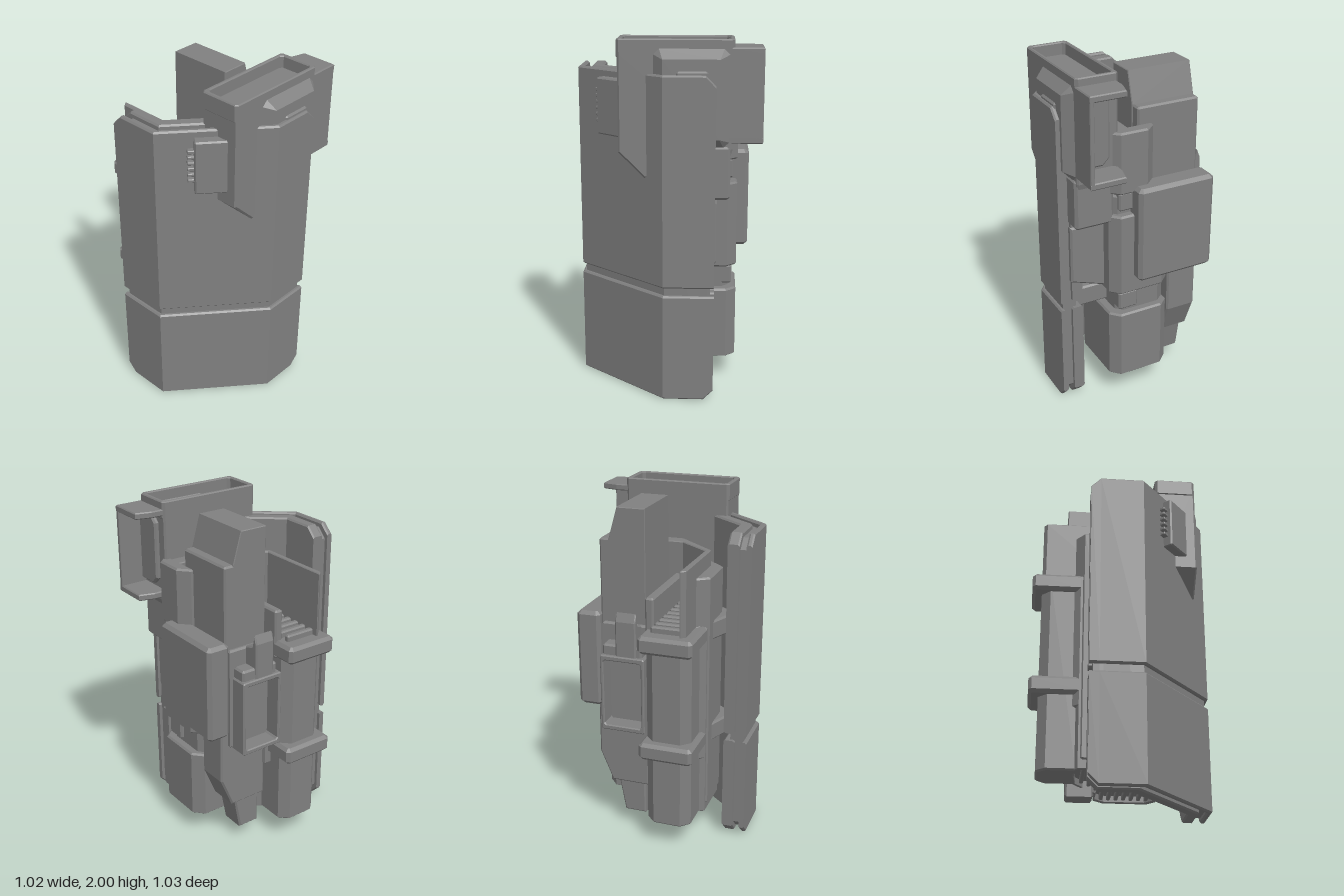
import * as THREE from 'three';

const material = new THREE.MeshStandardMaterial({ color: 0x808080, flatShading: true });

export function createModel() {
  const model = new THREE.Group();
  const add = (name, geometry) => {
    const mesh = new THREE.Mesh(geometry, material);
    mesh.name = name;
    model.add(mesh);
    return mesh;
  };

  // Extrude an outline along an axis: 'y' takes [x,z], 'z' takes [x,y], 'x' takes [z,y]
  const extrude = (name, axis, points, from, to, bevel = 0.01, hole = null) => {
    const map = ([a, b]) => axis === 'y' ? new THREE.Vector2(a, -b)
      : axis === 'x' ? new THREE.Vector2(-a, b) : new THREE.Vector2(a, b);
    const shape = new THREE.Shape(points.map(map));
    // A hole runs against its outline
    if (hole) shape.holes.push(new THREE.Path(hole.map(map).reverse()));
    const geometry = new THREE.ExtrudeGeometry(shape, {
      depth: to - from - 2 * bevel, bevelEnabled: bevel > 0, bevelSize: bevel,
      bevelThickness: bevel, bevelOffset: -bevel, bevelSegments: 1,
    });
    geometry.translate(0, 0, from + bevel);
    if (axis === 'y') geometry.rotateX(-Math.PI / 2);
    if (axis === 'x') geometry.rotateY(Math.PI / 2);
    return add(name, geometry);
  };

  // Rectangle with cut corners, and a box with chamfered edges
  const rect = (a0, a1, b0, b1, c = 0) => c
    ? [[a0 + c, b0], [a1 - c, b0], [a1, b0 + c], [a1, b1 - c], [a1 - c, b1], [a0 + c, b1], [a0, b1 - c], [a0, b0 + c]]
    : [[a0, b0], [a1, b0], [a1, b1], [a0, b1]];
  const block = (name, x0, x1, y0, y1, z0, z1, c = 0.01) =>
    extrude(name, 'y', rect(x0, x1, z0, z1, c), y0, y1, c);

  // Bent shield layer: loft chamfered sections along the folded plan path
  const shieldLayer = (name, d0, d1, y0, y1, cutLow, cutHigh, inset = 0) => {
    const path = d => {
      const a = [0.26 - inset, 0.515 - d], e = [-0.51 + d, -0.2 + inset];
      return [a, [a[0] - 0.055, a[1]], [-0.02 + 0.363 * d, a[1]],
        [e[0], 0.1 - 0.467 * d], [e[0], e[1] + 0.055], e];
    };
    const b = 0.009, position = [], index = [];
    const rails = [d0, d0 + b, d1 - b, d1].map(path);
    for (let i = 0; i < 6; i++) {
      const end = i === 0 || i === 5;
      const lo = y0 + (end ? cutLow : 0), hi = y1 - (end ? cutHigh : 0);
      const [o, p, q, n] = rails.map(rail => rail[i]);
      for (const [r, y] of [[o, lo + b], [o, hi - b], [p, hi], [q, hi], [n, hi - b], [n, lo + b], [q, lo], [p, lo]]) {
        position.push(r[0], y, r[1]);
      }
    }
    for (let s = 0; s < 5; s++) for (let k = 0; k < 8; k++) {
      const a = s * 8 + k, c = s * 8 + (k + 1) % 8;
      index.push(a, c, c + 8, a, c + 8, a + 8);
    }
    for (let k = 1; k < 7; k++) index.push(0, k + 1, k, 40, 40 + k, 41 + k);
    const geometry = new THREE.BufferGeometry();
    geometry.setAttribute('position', new THREE.Float32BufferAttribute(position, 3));
    geometry.setIndex(index);
    const flat = geometry.toNonIndexed();
    flat.computeVertexNormals();
    add(name, flat);
  };

  // Shield: split outer and inner plates over a recessed core
  for (const [label, d0, d1] of [['outer', 0, 0.032], ['inner', 0.07, 0.135]]) {
    shieldLayer(label + 'ShieldLower', d0, d1, 0, 0.615, 0.055, 0);
    shieldLayer(label + 'ShieldUpper', d0, d1, 0.66, 1.82, 0, 0.055);
  }
  shieldLayer('shieldCore', 0.02, 0.1, 0.025, 1.79, 0.055, 0.055, 0.02);

  // Toothed plate on the slanted face of the shield
  const comb = new THREE.Group();
  comb.name = 'toothedPlate';
  comb.add(extrude('plate', 'z', rect(-0.075, 0.1, 1.47, 1.78, 0.006), -0.06, 0.06, 0.008));
  for (let i = 0; i < 6; i++) {
    comb.add(block('tooth', -0.11, -0.05, 1.53 + i * 0.034, 1.55 + i * 0.034, -0.04, 0.035, 0.004));
  }
  comb.position.set(-0.295, 0, 0.275);
  comb.rotation.y = -40 * Math.PI / 180;
  model.add(comb);

  // Upper container with an open rim and a raised front panel
  extrude('container', 'z', [[-0.26, 1.93], [-0.26, 1.4], [-0.12, 1.26], [0.3, 1.26], [0.35, 1.42], [0.35, 1.93]], 0.2, 0.44);
  extrude('containerRim', 'y', rect(-0.265, 0.355, 0.2, 0.44, 0.015), 1.9, 2, 0.006, rect(-0.24, 0.33, 0.222, 0.418, 0.015));
  extrude('raisedPanel', 'z', rect(-0.07, 0.33, 1.43, 1.95, 0.03), 0.38, 0.49, 0.05);
  block('panelCatch', 0.05, 0.22, 1.72, 1.84, 0.44, 0.5);

  // Side bracket on the container, open to the back and the side
  extrude('bracketTop', 'y', [[0.33, 0.21], [0.42, 0.21], [0.51, 0.235], [0.51, 0.44], [0.33, 0.44]], 1.92, 1.957, 0.006);
  extrude('bracketBottom', 'y', [[0.33, 0.21], [0.42, 0.21], [0.51, 0.235], [0.51, 0.44], [0.33, 0.44]], 1.453, 1.49, 0.006);
  block('bracketFront', 0.33, 0.51, 1.46, 1.95, 0.415, 0.44, 0.004);
  extrude('bracketPad', 'x', [[0.43, 1.91], [0.3, 1.91], [0.26, 1.87], [0.26, 1.55], [0.3, 1.51], [0.43, 1.51]], 0.33, 0.375);

  // Spacers between container, shield and body
  block('upperSpacer', -0.05, 0.34, 1.145, 1.44, 0.22, 0.45, 0.015);
  extrude('lowerSpacer', 'x', [[0.22, 0.72], [0.25, 0.72], [0.45, 0.79], [0.45, 1.13], [0.22, 1.13]], -0.05, 0.27);

  // Main body: upper part, neck, wide lower part
  extrude('upperBody', 'y', [[-0.28, -0.24], [-0.28, 0.02], [-0.08, 0.2], [-0.02, 0.235], [0.3, 0.235], [0.34, 0.2],
    [0.34, -0.06], [0.3, -0.12], [0.3, -0.33], [-0.2, -0.33]], 0.7, 1.3);
  extrude('neck', 'y', [[-0.28, -0.24], [-0.28, 0.02], [-0.08, 0.2], [0.3, 0.2], [0.34, 0.16],
    [0.34, -0.06], [0.3, -0.11], [0.1, -0.13], [0.05, -0.33], [-0.2, -0.33]], 0.5, 0.75);
  const lowerPlan = [[-0.28, -0.24], [-0.28, 0.02], [-0.08, 0.2], [0, 0.25], [0.33, 0.25], [0.385, 0.2],
    [0.385, -0.06], [0.33, -0.12], [0.2, -0.12], [0, -0.26], [-0.2, -0.28]];
  extrude('lowerBody', 'y', lowerPlan, 0.19, 0.565);

  // Grille set into the bottom of the body
  extrude('bottomRim', 'y', lowerPlan, 0.15, 0.22, 0.004,
    lowerPlan.map(([x, z]) => [0.05 + (x - 0.05) * 0.92, z * 0.92]));
  for (let i = 0; i < 10; i++) {
    const z = -0.215 + i * 0.044;
    const left = z < 0 ? -0.25 : -0.25 + z * 1.1;
    const right = z < -0.11 ? 0.16 + (z + 0.12) * 1.43 : 0.35;
    block('bottomSlat', left, right, 0.16, 0.21, z, z + 0.022, 0.004);
  }

  // Upper shell, open to the back, with slats on its floor
  extrude('shellWall', 'y', [[-0.2, -0.46], [-0.225, -0.44], [-0.225, 0], [0, 0.2], [0.34, 0.2], [0.34, 0.12],
    [-0.02, 0.12], [-0.195, -0.02], [-0.195, -0.46]], 1.26, 1.67, 0.005);
  extrude('outerWall', 'y', [[-0.29, -0.22], [-0.29, 0.02], [-0.08, 0.21], [0.02, 0.21], [-0.21, 0], [-0.21, -0.28]], 0.2, 1.58);
  block('shellDivider', -0.02, 0.03, 1.2, 1.48, -0.38, 0.13);
  for (let i = 0; i < 8; i++) {
    const z = -0.412 + i * 0.0627;
    block('topSlat', -0.2, -0.02, 1.28, 1.34, z - 0.017, z + 0.017, 0.008);
  }

  // Tall box and its stepped outer slab
  extrude('tallBox', 'z', [[0.05, 0.8], [0.26, 0.8], [0.26, 1.77], [0.21, 1.945], [0.05, 1.945]], -0.31, 0.07, 0.004);
  block('tallBoxSlab', 0.22, 0.315, 0.75, 1.77, -0.31, 0.065);

  // Large side block
  block('sideBlock', 0.31, 0.45, 0.79, 1.355, -0.35, 0.12, 0.02);

  // Corner column above the lower body
  extrude('middleColumn', 'y', [[0.1, 0.25], [0.33, 0.25], [0.385, 0.2], [0.385, -0.06], [0.33, -0.12], [0.1, -0.12]], 0.7, 1.19);
  extrude('upperColumn', 'y', [[0.31, 0.25], [0.335, 0.25], [0.385, 0.2], [0.385, 0.04], [0.33, -0.02], [0.31, -0.02]], 1.32, 1.675);

  // Struts joining body and shield at both band heights
  for (const y of [0.575, 1.2]) {
    extrude('sideStrut', 'y', [[-0.2, -0.29], [-0.25, -0.26], [-0.365, 0.035], [-0.16, 0.205], [-0.05, 0.2]], y, y + 0.11);
    block('frontStrut', -0.05, 0.2, y, y + 0.12, 0.1, 0.42);
    block('columnBand', 0.26, 0.36, y + 0.01, y + 0.12, 0.08, 0.2);
  }

  // Back column and its two clamps
  extrude('backColumn', 'y', [[-0.25, -0.25], [-0.25, -0.41], [-0.2, -0.46], [-0.04, -0.46], [0.01, -0.41], [0.01, -0.25]], 0.15, 1.29);
  for (const y of [0.575, 1.205]) {
    block('clamp', -0.28, 0.03, y, y + 0.1, -0.515, -0.22, 0.018);
  }

  // Recessed back panel and the catch above it
  extrude('backPanelFrame', 'z', rect(0.02, 0.28, 0.69, 1.14, 0.008), -0.43, -0.32, 0.006, rect(0.04, 0.26, 0.72, 1.11, 0.01));
  block('backShelf', 0.04, 0.27, 1.13, 1.2, -0.41, -0.32);
  extrude('backCatch', 'x', [[-0.32, 1.13], [-0.42, 1.13], [-0.42, 1.34], [-0.4, 1.39], [-0.38, 1.32], [-0.32, 1.3]], 0.07, 0.19, 0.008);

  // Tapered bar below the side block
  extrude('taperedBar', 'z', [[0.04, 0.3], [0.27, 0.3], [0.345, 0.48], [0.345, 0.82], [0.04, 0.82]], -0.31, -0.125);
  extrude('barFoot', 'z', [[0.07, 0.1], [0.2, 0.1], [0.24, 0.32], [0.07, 0.32]], -0.29, -0.135);

  return model;
}
